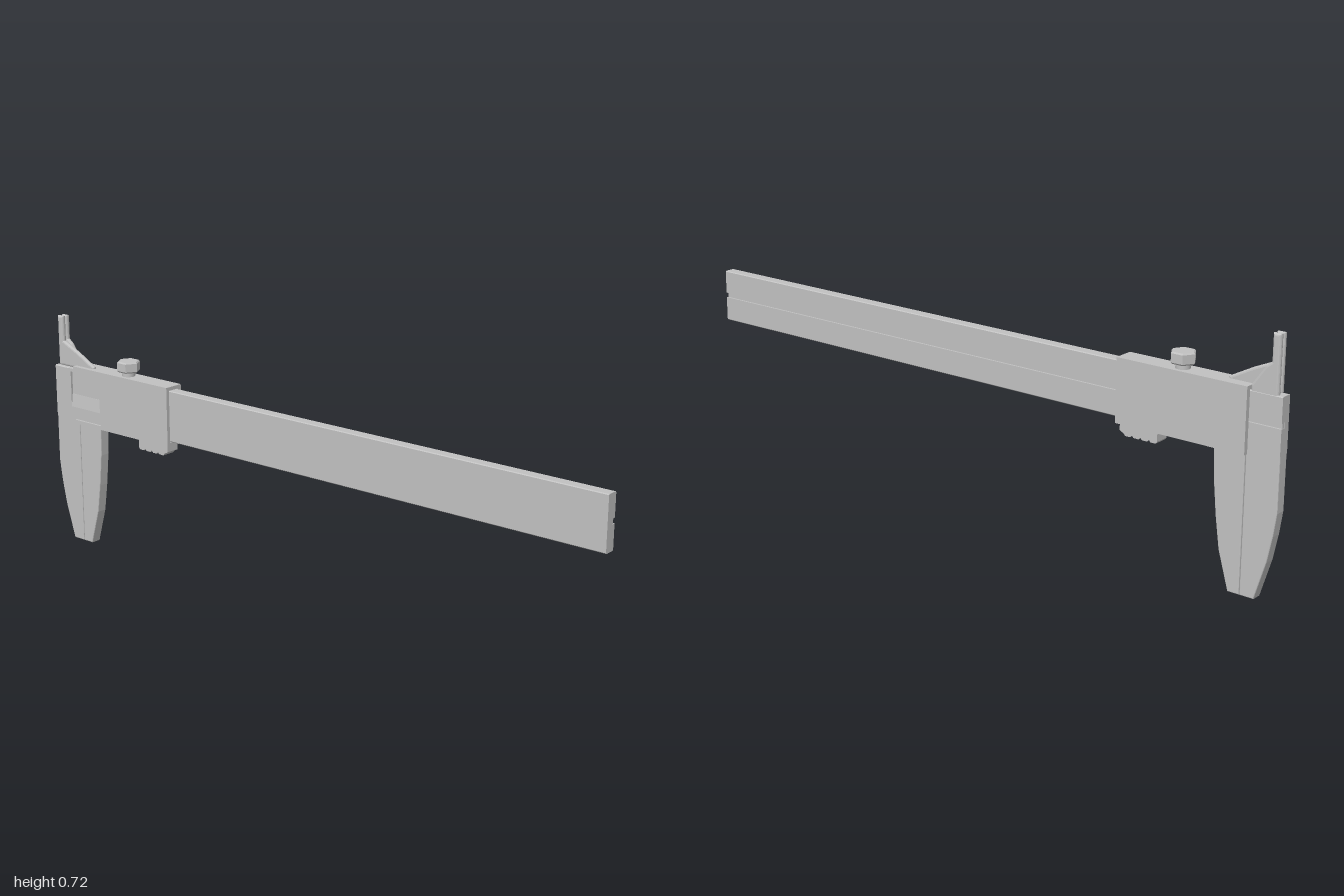
import * as THREE from 'three';

const steel = new THREE.MeshStandardMaterial({ color: 0xc1c1c1 });
steel.name = 'brushed steel';

function toShape(pts) {
  return new THREE.Shape(pts.map(([x, y]) => new THREE.Vector2(x, y)));
}

// Side profile in x,y extruded from z0 to z1, with bevelled edges inside the outline
function plate(name, pts, z0, z1, bevel = 0) {
  const geo = new THREE.ExtrudeGeometry(toShape(pts), {
    depth: z1 - z0 - 2 * bevel, bevelEnabled: bevel > 0, bevelThickness: bevel,
    bevelSize: bevel, bevelOffset: -bevel, bevelSegments: 3,
  });
  geo.translate(0, 0, z0 + bevel);
  return named(name, geo);
}

// Cross-section in z,y extruded from x0 to x1
function bar(name, pts, x0, x1) {
  const geo = new THREE.ExtrudeGeometry(
    toShape(pts.map(([z, y]) => [-z, y])), { depth: x1 - x0, bevelEnabled: false });
  geo.rotateY(Math.PI / 2).translate(x0, 0, 0);
  return named(name, geo);
}

// Box given by its limits on each axis
function box(name, x0, x1, y0, y1, z0, z1) {
  const geo = new THREE.BoxGeometry(x1 - x0, y1 - y0, z1 - z0);
  geo.translate((x0 + x1) / 2, (y0 + y1) / 2, (z0 + z1) / 2);
  return named(name, geo);
}

function named(name, geo) {
  const mesh = new THREE.Mesh(geo, steel);
  mesh.name = name;
  return mesh;
}

export function createModel() {
  const caliper = new THREE.Group();
  caliper.name = 'caliper';

  // Main beam with a depth-rod groove in the back
  const T = 0.017, c = 0.0025, lo = 0.403, hi = 0.561;
  caliper.add(bar('beam', [
    [-T, lo + c], [-T + c, lo], [T - c, lo], [T, lo + c], [T, hi - c], [T - c, hi],
    [-T + c, hi], [-T, hi - c], [-T, 0.491], [-0.001, 0.491], [-0.001, 0.476], [-T, 0.476],
  ], -1, 1));
  caliper.add(box('depthRod', -0.999, 0.999, 0.476, 0.491, -0.011, -0.001));

  // Large outside jaws
  caliper.add(plate('fixedJaw', [
    [-1, 0.415], [-1, 0.25], [-0.991, 0.185], [-0.976, 0.11], [-0.943, 0],
    [-0.901, 0], [-0.901, 0.415]], -T, T, 0.003));
  caliper.add(plate('slidingJaw', [
    [-0.899, 0.395], [-0.899, 0], [-0.864, 0], [-0.832, 0.11], [-0.819, 0.2],
    [-0.809, 0.3], [-0.805, 0.395]], -T, T, 0.003));

  // Small inside jaws, side by side in depth, with rounded edges
  caliper.add(plate('fixedInsideJaw', [
    [-0.985, 0.545], [-0.905, 0.545], [-0.905, 0.575], [-0.945, 0.632], [-0.961, 0.645],
    [-0.961, 0.72], [-0.985, 0.72]], -0.016, -0.001, 0.007));
  caliper.add(plate('slidingInsideJaw', [
    [-0.985, 0.563], [-0.83, 0.563], [-0.83, 0.578], [-0.9, 0.615], [-0.961, 0.642],
    [-0.961, 0.72], [-0.985, 0.72]], 0.001, 0.016, 0.007));

  // Slider: a sleeve around the beam, its front open at the reading window
  const slider = new THREE.Group();
  slider.name = 'slider';
  const x0 = -0.905, x1 = -0.505, w = -0.79, Z = 0.031;
  slider.add(box('sliderBack', x0, x1, 0.39, 0.573, -Z, -0.0172));
  slider.add(box('sliderTop', x0, x1, 0.562, 0.573, -0.0172, Z));
  slider.add(box('sliderBottom', x0, x1, 0.39, 0.402, -0.0172, Z));
  slider.add(box('sliderFront', w, x1, 0.402, 0.562, 0.02, Z));

  // Scale plate in the window: thin frame with a sloping lower half
  const p0 = -0.935, f = 0.01, zf = 0.024;
  slider.add(box('windowFrameTop', p0, w, 0.552, 0.562, 0.0165, zf));
  slider.add(box('windowFrameLeft', p0, p0 + f, 0.402, 0.552, 0.0165, zf));
  slider.add(box('windowFrameRight', w - f, w, 0.402, 0.552, 0.0165, zf));
  slider.add(bar('scalePlate', [
    [0.0165, 0.402], [zf, 0.402], [zf, 0.44], [0.0185, 0.48], [0.0165, 0.48],
  ].reverse(), p0 + f, w - f));
  caliper.add(slider);

  // Ribbed thumb grip under the slider
  const grip = [[-0.635, 0.392], [-0.635, 0.363]];
  for (let i = 0; i < 4; i++) {
    const x = -0.63 + i * 0.027;
    grip.push([x, 0.357], [x + 0.016, 0.357], [x + 0.021, 0.363]);
  }
  grip.push([-0.515, 0.37], [-0.515, 0.392]);
  caliper.add(plate('thumbGrip', grip, -0.022, 0.022));

  // Hexagonal locking screw on top, its head chamfered at both ends
  const stem = named('lockScrewStem', new THREE.CylinderGeometry(0.02, 0.02, 0.02, 24));
  stem.position.set(-0.693, 0.58, 0);
  const profile = [[0, 0], [0.032, 0], [0.036, 0.004], [0.036, 0.029], [0.032, 0.033], [0, 0.033]];
  const headGeo = new THREE.LatheGeometry(
    profile.map(([r, y]) => new THREE.Vector2(r, y)), 6).toNonIndexed();
  headGeo.computeVertexNormals();
  const head = named('lockScrewHead', headGeo);
  head.rotation.y = Math.PI / 2;
  head.position.set(-0.693, 0.587, 0);
  caliper.add(stem, head);

  return caliper;
}
